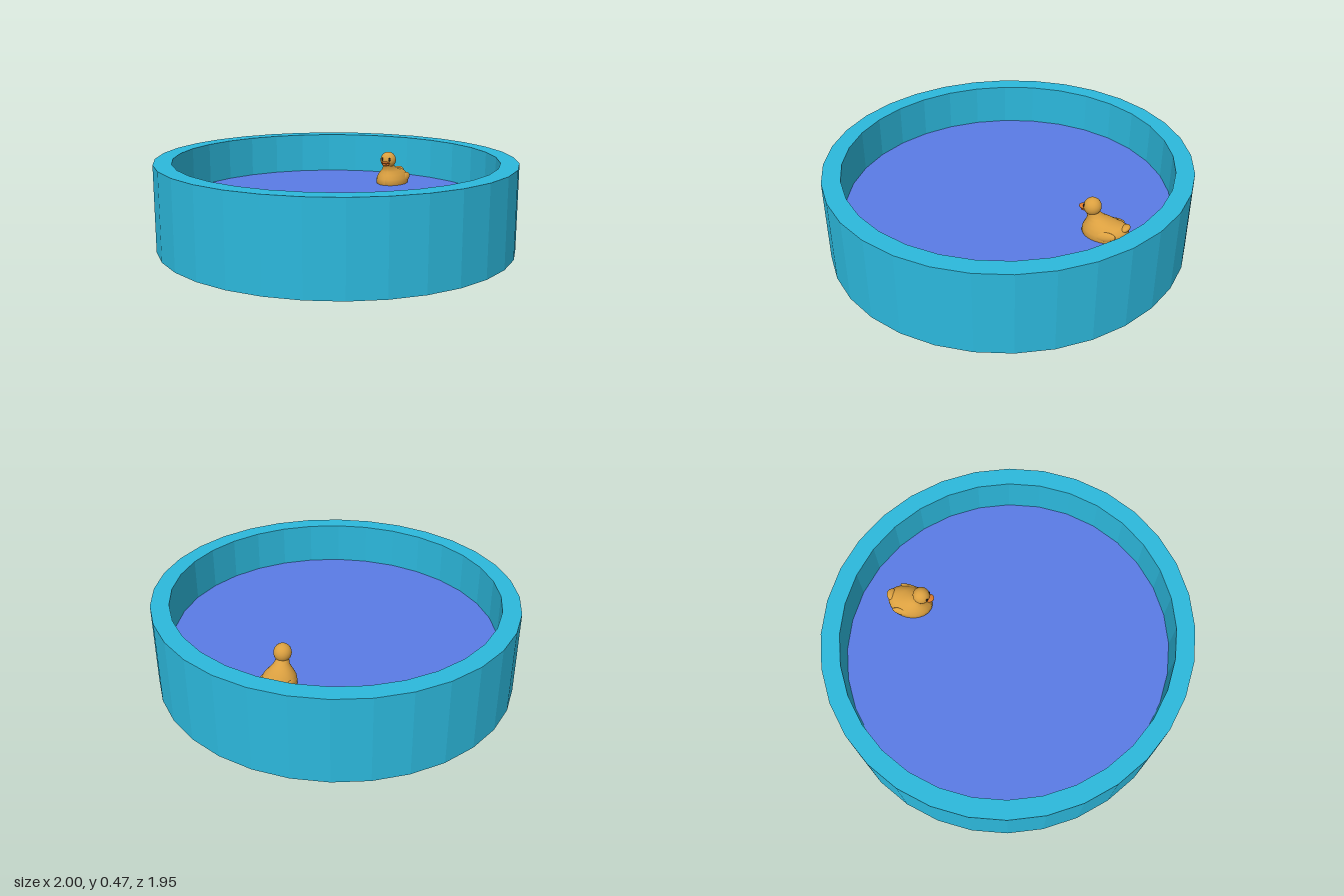
import * as THREE from 'three';

const SIDES = 32, DEPTH = 0.977, HEIGHT = 0.475, WATER = 0.24;

const mat = (color, flatShading = false) => new THREE.MeshStandardMaterial({ color, flatShading });

function add(parent, name, geometry, material, pos = [0, 0, 0], scale = [1, 1, 1], rot = [0, 0, 0]) {
  const mesh = new THREE.Mesh(geometry, material);
  mesh.name = name;
  mesh.position.set(...pos);
  mesh.scale.set(...scale);
  mesh.rotation.set(...rot);
  parent.add(mesh);
  return mesh;
}

// Bell-shaped body: rings of [half width, half length, height, forward shift]
function bodyGeometry() {
  const rings = [
    [0.0, 0.0, -0.05, 0], [0.06, 0.08, -0.045, 0], [0.085, 0.112, -0.02, 0],
    [0.093, 0.125, 0.01, 0], [0.09, 0.122, 0.035, 0], [0.076, 0.102, 0.06, 0.008],
    [0.056, 0.074, 0.08, 0.028], [0.041, 0.05, 0.095, 0.05], [0.034, 0.038, 0.112, 0.068],
    [0.034, 0.034, 0.135, 0.076],
  ];
  const geo = new THREE.LatheGeometry(rings.map(([w, , y]) => new THREE.Vector2(w, y)), 28);
  const p = geo.attributes.position;
  for (let i = 0; i < p.count; i++) {
    const [w, l, y, shift] = rings[i % rings.length];
    const z = w ? p.getZ(i) * l / w + shift : shift;
    // the rump curves up towards the tail
    const lift = y > 0 ? Math.max(0, -z - 0.05) * 0.35 : 0;
    p.setXYZ(i, p.getX(i), y + lift, z);
  }
  geo.computeVertexNormals();
  return geo;
}

function createDuck() {
  const duck = new THREE.Group();
  duck.name = 'toyDuck';
  const yellow = mat(0xdba040), orange = mat(0xdd7a2c), dark = mat(0x222222);
  const ball = new THREE.SphereGeometry(1, 24, 16);

  add(duck, 'body', bodyGeometry(), yellow);
  add(duck, 'tail', ball, yellow, [0, 0.058, -0.1], [0.035, 0.018, 0.034], [0.5, 0, 0]);
  add(duck, 'head', ball, yellow, [0, 0.15, 0.076], [0.046, 0.048, 0.047]);
  // beak halves
  add(duck, 'upperBeak', ball, orange, [0, 0.138, 0.12], [0.026, 0.008, 0.028], [-0.12, 0, 0]);
  add(duck, 'lowerBeak', ball, orange, [0, 0.127, 0.115], [0.022, 0.006, 0.023], [0.15, 0, 0]);
  for (const s of [-1, 1]) {
    add(duck, s > 0 ? 'leftEye' : 'rightEye', ball, dark, [s * 0.022, 0.158, 0.115], [0.007, 0.01, 0.006], [0, s * 0.5, 0]);
    add(duck, s > 0 ? 'leftWing' : 'rightWing', ball, yellow, [s * 0.078, 0.035, -0.02], [0.014, 0.024, 0.06], [0.15, 0, s * 0.35]);
  }
  return duck;
}

export function createModel() {
  const model = new THREE.Group();
  model.name = 'paddlingPool';

  // Faceted tub: bottom, outer wall, rim, inner wall and floor
  const profile = [[0, 0], [1, 0], [1, HEIGHT], [0.9, HEIGHT], [0.9, 0.05], [0, 0.05]];
  const tub = new THREE.LatheGeometry(profile.map(([r, y]) => new THREE.Vector2(r, y)), SIDES);
  add(model, 'tub', tub, mat(0x2cb8dc, true), [0, 0, 0], [1, 1, DEPTH]);

  // Water surface
  const water = new THREE.CircleGeometry(0.9, SIDES).rotateX(-Math.PI / 2);
  add(model, 'water', water, mat(0x5a7be6), [0, WATER, 0], [1, 1, DEPTH]);

  const duck = createDuck();
  duck.position.set(-0.2, WATER, -0.575);
  duck.rotation.y = Math.PI / 6;
  model.add(duck);
  return model;
}
